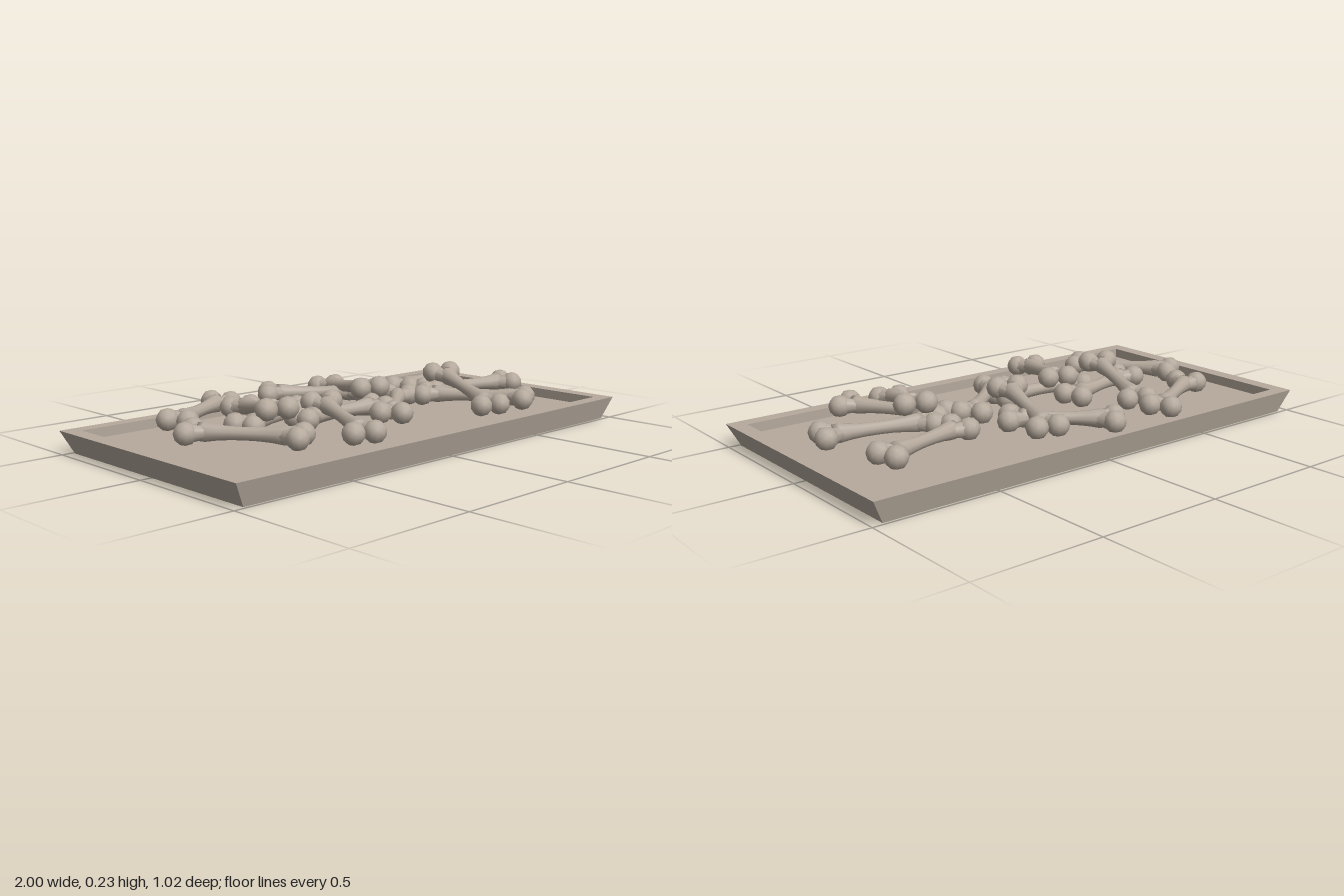
import * as THREE from 'three';
import { mergeGeometries } from 'three/addons/utils/BufferGeometryUtils.js';

const V = (x, y, z) => new THREE.Vector3(x, y, z);
const UP = V(0, 1, 0);

// Tray: rectangular cross-sections [half width, y, half depth] joined into flat walls
function trayGeometry() {
  const rings = [[0, 0, 0], [0.955, 0, 0.488], [1, 0.088, 0.512],
    [0.94, 0.088, 0.457], [0.94, 0.05, 0.457], [0, 0.05, 0]];
  const corners = [[1, 1], [1, -1], [-1, -1], [-1, 1]];
  const pos = [];
  const point = (r, c) => [r[0] * c[0], r[1], r[2] * c[1]];
  for (let i = 0; i < rings.length - 1; i++) {
    for (let k = 0; k < 4; k++) {
      const c0 = corners[k], c1 = corners[(k + 1) % 4];
      const a = point(rings[i], c0), b = point(rings[i], c1);
      const c = point(rings[i + 1], c1), d = point(rings[i + 1], c0);
      if (rings[i][0] > 0) pos.push(...a, ...b, ...c);
      if (rings[i + 1][0] > 0) pos.push(...a, ...c, ...d);
    }
  }
  const g = new THREE.BufferGeometry();
  g.setAttribute('position', new THREE.Float32BufferAttribute(pos, 3));
  g.computeVertexNormals();
  return g;
}

// Moves a geometry that runs along +y from the origin so it starts at a and points to b
function aim(g, a, b) {
  const q = new THREE.Quaternion().setFromUnitVectors(UP, b.clone().sub(a).normalize());
  return g.applyQuaternion(q).translate(a.x, a.y, a.z);
}

// Bone: waisted shaft with two knobs on short forked necks at each end
function boneGeometry(a, b) {
  const len = a.distanceTo(b);
  const along = b.clone().sub(a).normalize();
  const across = V(0, 1, 0).cross(along).normalize();
  const profile = [[0, 0.03], [0.034, 0.035], [0.036, 0.055], [0.029, 0.1], [0.025, 0.15], [0.024, len / 2],
    [0.025, len - 0.15], [0.029, len - 0.1], [0.036, len - 0.055], [0.034, len - 0.035], [0, len - 0.03]];
  const shaft = new THREE.LatheGeometry(profile.map(p => new THREE.Vector2(p[0], p[1])), 10);
  const parts = [aim(shaft, a, b).toNonIndexed()];
  for (const [end, dir] of [[a, 1], [b, -1]]) {
    const root = end.clone().addScaledVector(along, dir * 0.075);
    for (const side of [-1, 1]) {
      const tip = end.clone().addScaledVector(across, side * 0.041);
      const neckLength = root.distanceTo(tip);
      const neck = new THREE.CylinderGeometry(0.036, 0.022, neckLength, 8, 1, true).translate(0, neckLength / 2, 0);
      parts.push(aim(neck, root, tip).toNonIndexed());
      parts.push(new THREE.IcosahedronGeometry(0.043, 1).translate(tip.x, tip.y, tip.z));
    }
  }
  return mergeGeometries(parts);
}

export function createModel() {
  const model = new THREE.Group();
  const stone = new THREE.MeshStandardMaterial({ color: 0xb5a99c });
  stone.name = 'warm grey';

  const tray = new THREE.Mesh(trayGeometry(), stone);
  tray.name = 'tray';
  model.add(tray);

  // Bone ends: x, y, z of one end, then of the other
  const bones = [
    [-0.34, 0.122, -0.415, -0.68, 0.122, -0.23],
    [-0.09, 0.122, -0.425, 0.205, 0.122, -0.175],
    [0.18, 0.13, -0.365, 0.07, 0.18, 0.005],
    [0.41, 0.122, -0.15, 0.78, 0.122, -0.25],
    [-0.345, 0.122, -0.285, -0.47, 0.18, 0.08],
    [-0.56, 0.122, 0.005, -0.18, 0.122, -0.095],
    [-0.33, 0.122, 0.05, 0.05, 0.122, 0.07],
    [-0.025, 0.122, 0.215, 0.27, 0.122, -0.03],
    [-0.21, 0.165, 0.03, -0.34, 0.122, 0.39],
    [-0.76, 0.122, -0.05, -0.535, 0.122, 0.28],
    [0.45, 0.122, -0.025, 0.84, 0.122, 0.07],
    [0.365, 0.122, 0.025, 0.575, 0.122, 0.37],
    [0.497, 0.192, 0, 0.38, 0.118, 0.36],
  ];
  const pile = new THREE.Group();
  pile.name = 'bonePile';
  for (const [x0, y0, z0, x1, y1, z1] of bones) {
    const bone = new THREE.Mesh(boneGeometry(V(x0, y0, z0), V(x1, y1, z1)), stone);
    bone.name = 'bone';
    pile.add(bone);
  }
  model.add(pile);
  return model;
}
